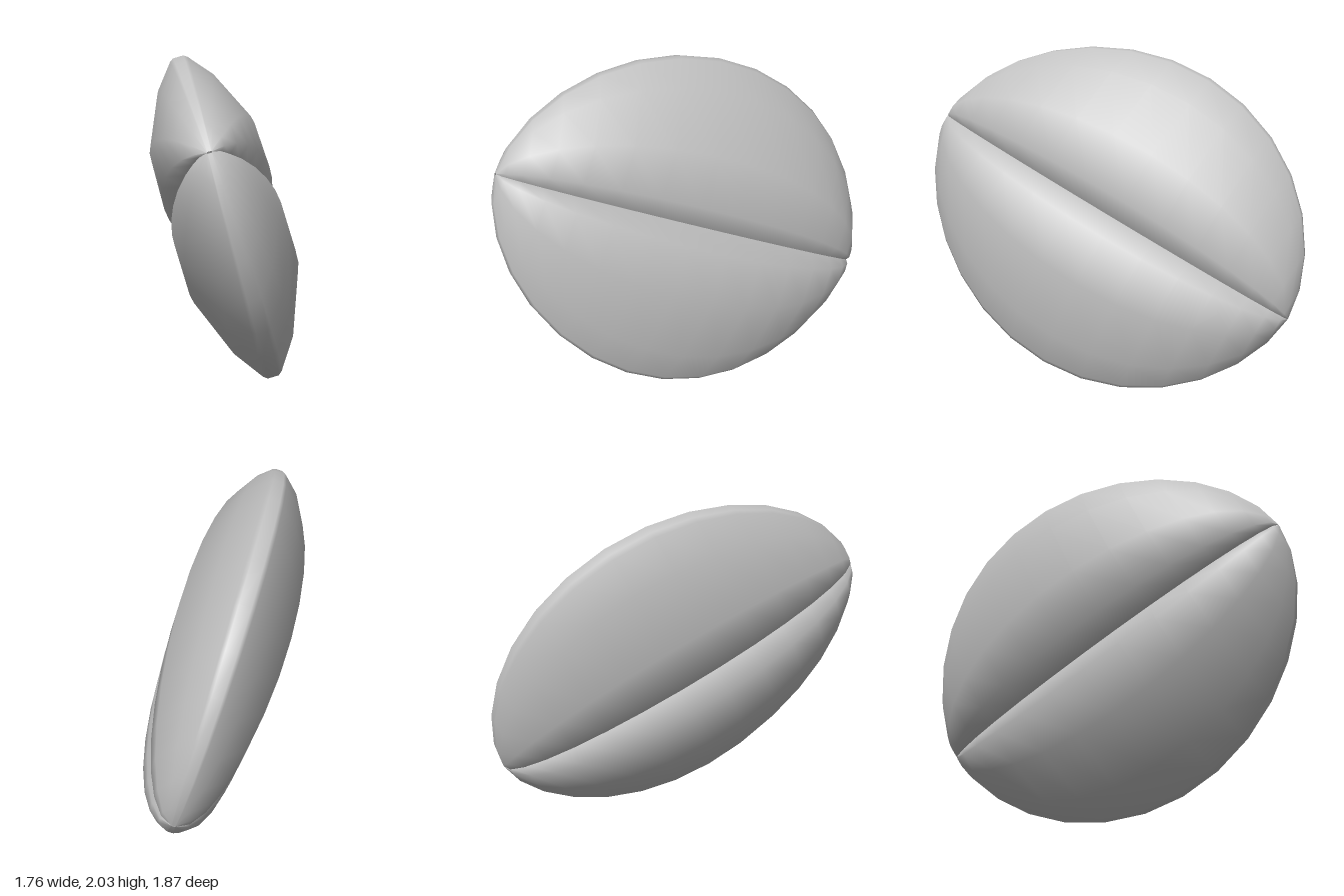
import * as THREE from 'three';

// Long axis, half-width of the disc, and the thickness direction
const AXIS = new THREE.Vector3(0.717, 0.54, 0.888);
const SIDE = new THREE.Vector3(-0.5, 0.85, -0.13);
const THICK = AXIS.clone().cross(SIDE).normalize();
const CENTRE = new THREE.Vector3(0.008, 1.018, 0);

// Half cross-section of a lobe: [reach from seam to rim, half thickness]
const HALF = [[0, 0.215], [0.12, 0.335], [0.43, 0.33], [0.8, 0.18], [0.98, 0.05], [1, 0.025]];
const EDGE = 0.01; // thickness left at the pointed ends
const STEPS = 15;

// One lobe: sections swept along the axis, shrinking towards both ends
function lobeGeometry(sign) {
  const ring = [...HALF, ...HALF.slice().reverse().map(([v, w]) => [v, -w])];
  const n = ring.length;
  const positions = [];
  const index = [];
  for (let i = 0; i <= STEPS; i++) {
    const angle = 0.01 + (Math.PI - 0.02) * i / STEPS;
    const along = -sign * Math.cos(angle);
    const girth = Math.sin(angle);
    // The rim is a slightly pinched ellipse, a little fuller at the low end
    const reach = 1.02 * Math.pow(girth, 1.15) * (1 - 0.05 * along);
    for (const [v, w] of ring) {
      const p = CENTRE.clone()
        .addScaledVector(AXIS, along)
        .addScaledVector(SIDE, sign * v * reach)
        .addScaledVector(THICK, w * girth + Math.sign(w) * EDGE);
      positions.push(p.x, p.y, p.z);
    }
  }
  for (let i = 0; i < STEPS; i++) {
    for (let j = 0; j < n - 1; j++) {
      const a = i * n + j;
      const b = a + n;
      index.push(a, b, a + 1, b, b + 1, a + 1);
    }
  }
  const geometry = new THREE.BufferGeometry();
  geometry.setAttribute('position', new THREE.Float32BufferAttribute(positions, 3));
  geometry.setIndex(index);
  geometry.computeVertexNormals();
  return geometry;
}

export function createModel() {
  const group = new THREE.Group();
  group.name = 'twoLobedBean';
  const grey = new THREE.MeshStandardMaterial({ color: 0xc0c0c0, side: THREE.DoubleSide });
  grey.name = 'light grey';

  // Two lobes meeting along the seam
  for (const [name, sign] of [['upperLobe', 1], ['lowerLobe', -1]]) {
    const lobe = new THREE.Mesh(lobeGeometry(sign), grey);
    lobe.name = name;
    group.add(lobe);
  }
  return group;
}
